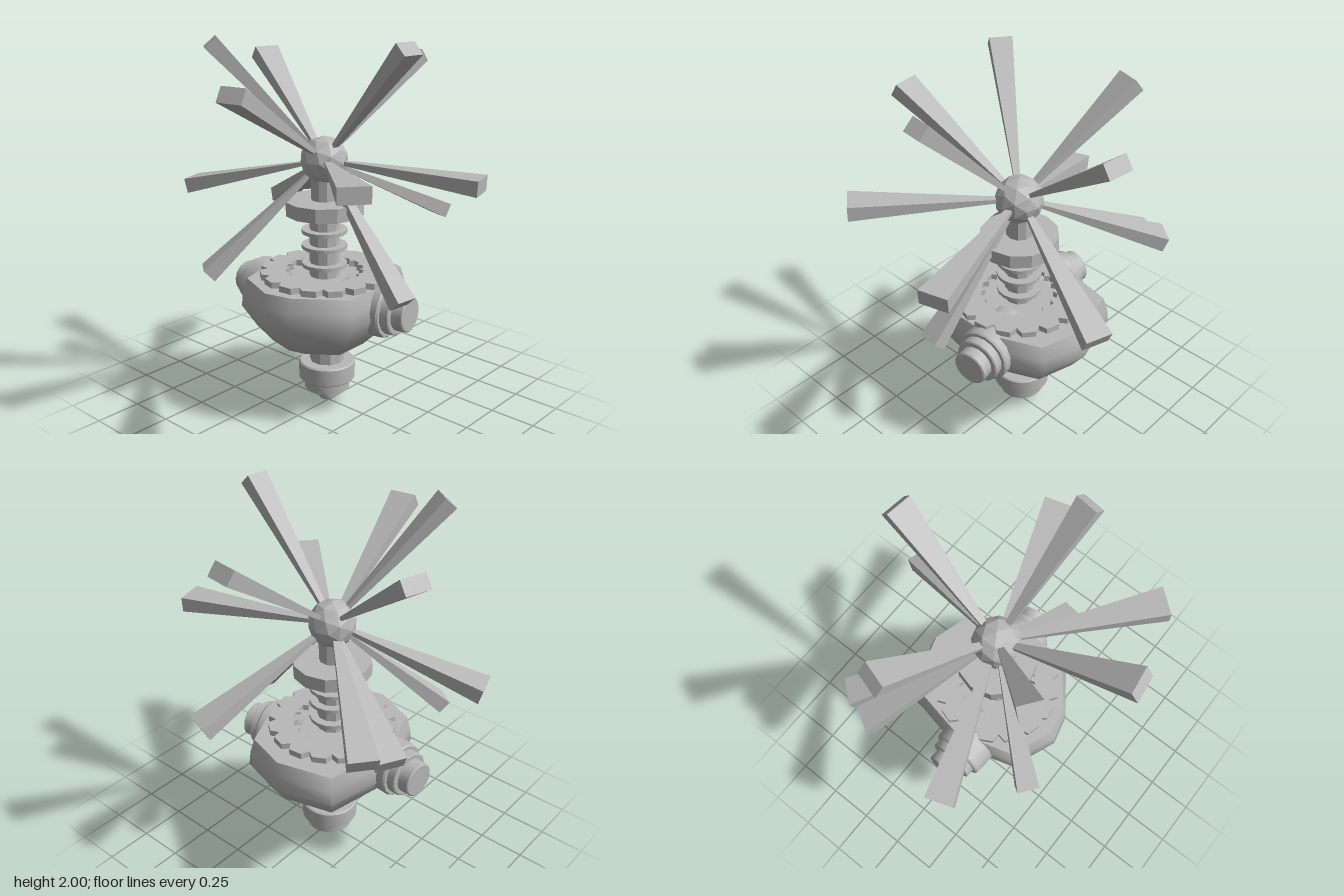
import * as THREE from 'three';
import { toCreasedNormals } from 'three/addons/utils/BufferGeometryUtils.js';

const grey = new THREE.MeshStandardMaterial({ color: 0xb8b8b8 });
grey.name = 'plain grey';

export function createModel() {
  const model = new THREE.Group();
  model.name = 'spikedDevice';

  const add = (name, geometry, crease = 0.1, parent = model) => {
    const mesh = new THREE.Mesh(toCreasedNormals(geometry, crease), grey);
    mesh.name = name;
    parent.add(mesh);
    return mesh;
  };

  // Turned part from [radius, height] points, listed bottom to top
  const turned = (name, profile, sides, x, z, crease = 0.1) => {
    const points = profile.map(([r, y]) => new THREE.Vector2(r, y));
    const mesh = add(name, new THREE.LatheGeometry(points, sides), crease);
    mesh.position.set(x, 0, z);
    return mesh;
  };

  // Foot: stem, wide collar and recessed socket with a pin
  turned('footStem', [[0.095, 0.22], [0.095, 0.39]], 10, 0.02, -0.03);
  turned('footCollar', [
    [0, 0.1], [0.08, 0.1], [0.08, 0.075], [0.125, 0.075], [0.125, 0.13],
    [0.148, 0.13], [0.155, 0.137], [0.155, 0.228], [0.148, 0.235], [0, 0.235],
  ], 24, 0.02, -0.03, 0.5);
  turned('footPin', [[0, 0], [0.04, 0], [0.045, 0.01], [0.045, 0.11]], 12, 0.02, -0.03, 0.6);

  // Body: an irregular faceted outline scaled level by level
  const outline = [[0.47, -0.03], [0.40, 0.215], [0.12, 0.34], [-0.21, 0.34], [-0.40, 0.09],
    [-0.44, -0.07], [-0.34, -0.32], [0, -0.42], [0.38, -0.345]];
  const levels = [[0, 0.37], [0.58, 0.37], [0.82, 0.46], [1, 0.58], [0.98, 0.66], [0.93, 0.735], [0, 0.735]];
  const positions = [], index = [], n = outline.length;
  for (const [s, y] of levels) {
    for (const [x, z] of outline) positions.push(x * s, y, -0.03 + (z + 0.03) * s);
  }
  for (let l = 0; l < levels.length - 1; l++) {
    for (let i = 0; i < n; i++) {
      const a = l * n + i, b = l * n + (i + 1) % n, c = b + n, d = a + n;
      if (levels[l + 1][0] > 0) index.push(a, d, c);
      if (levels[l][0] > 0) index.push(a, c, b);
    }
  }
  const body = new THREE.BufferGeometry();
  body.setAttribute('position', new THREE.Float32BufferAttribute(positions, 3));
  body.setIndex(index);
  add('body', body, 1.15);

  // Toothed ring on the body top
  const toothed = (path, teeth, rOut, rIn) => {
    const points = [];
    for (let i = 0; i < teeth; i++) {
      for (const [t, r] of [[0, rOut], [0.55, rOut], [0.78, rIn]]) {
        const a = (i + t) / teeth * Math.PI * 2;
        points.push(new THREE.Vector2(Math.cos(a) * r, Math.sin(a) * r));
      }
    }
    return path.setFromPoints(points);
  };
  const ringShape = toothed(new THREE.Shape(), 16, 0.345, 0.305);
  ringShape.holes.push(toothed(new THREE.Path(), 16, 0.21, 0.185));
  const ring = new THREE.ExtrudeGeometry(ringShape, { depth: 0.04, bevelEnabled: false });
  ring.rotateX(-Math.PI / 2);
  add('toothedRing', ring).position.set(0, 0.728, -0.03);

  // Stepped side ports, front and back
  const portProfile = [[0.15, -0.25], [0.15, 0], [0.143, 0.01], [0.125, 0.01], [0.125, 0.055],
    [0.118, 0.06], [0.095, 0.06], [0.095, 0.12], [0.088, 0.125], [0, 0.125]];
  for (const [name, x, z, dx, dz] of [['frontPort', 0.09, 0.345, 0.15, 1], ['backPort', -0.06, -0.455, 0.08, -1]]) {
    const port = turned(name, portProfile, 16, x, z, 0.5);
    port.position.y = 0.605;
    port.quaternion.setFromUnitVectors(new THREE.Vector3(0, 1, 0), new THREE.Vector3(dx, 0, dz).normalize());
  }

  // Pillar with thin discs and a wide collar
  turned('pillar', [[0.08, 0.73], [0.08, 1.1]], 10, 0, -0.03);
  for (const y of [0.80, 0.90, 0.985]) {
    turned('pillarDisc', [[0, y - 0.01], [0.122, y - 0.01], [0.122, y + 0.01], [0, y + 0.01]], 16, 0, -0.03, 0.5);
  }
  turned('pillarCollar', [[0, 1.08], [0.21, 1.08], [0.21, 1.155], [0, 1.155]], 12, 0, -0.03);
  turned('ballNeck', [[0.07, 1.15], [0.07, 1.27]], 10, 0, -0.03);

  // Faceted ball
  const centre = new THREE.Vector3(0, 1.365, -0.03);
  add('ball', new THREE.IcosahedronGeometry(0.127, 1), 0.05).position.copy(centre);

  // Flaring spikes: tip position and tip width
  const spikes = [
    [-0.07, 1.975, 0.55, 0.12], [-0.45, 1.975, -0.37, 0.12],
    [0.19, 1.86, -0.65, 0.14], [0.65, 1.86, 0.055, 0.14], [-0.72, 1.79, 0.07, 0.145],
    [-0.54, 1.40, 0.63, 0.155], [0.23, 1.32, 0.78, 0.155], [-0.25, 1.16, -0.79, 0.15],
    [0.72, 1.0, 0.21, 0.145], [0.35, 1.0, -0.68, 0.145], [0.49, 1.05, -0.625, 0.15],
    [-0.07, 0.74, 0.55, 0.12], [-0.495, 0.79, -0.40, 0.12],
  ];
  for (const [x, y, z, width] of spikes) {
    const tip = new THREE.Vector3(x, y, z);
    const length = tip.distanceTo(centre), start = 0.08;
    const spike = new THREE.BoxGeometry(1, 1, length - start);
    spike.translate(0, 0, (length + start) / 2);
    const p = spike.attributes.position;
    for (let i = 0; i < p.count; i++) {
      const outer = p.getZ(i) > length / 2;
      p.setXY(i, p.getX(i) * (outer ? width : 0.028), p.getY(i) * (outer ? 0.08 : 0.018));
    }
    const mesh = add('spike', spike);
    mesh.position.copy(centre);
    mesh.lookAt(tip);
  }
  return model;
}
